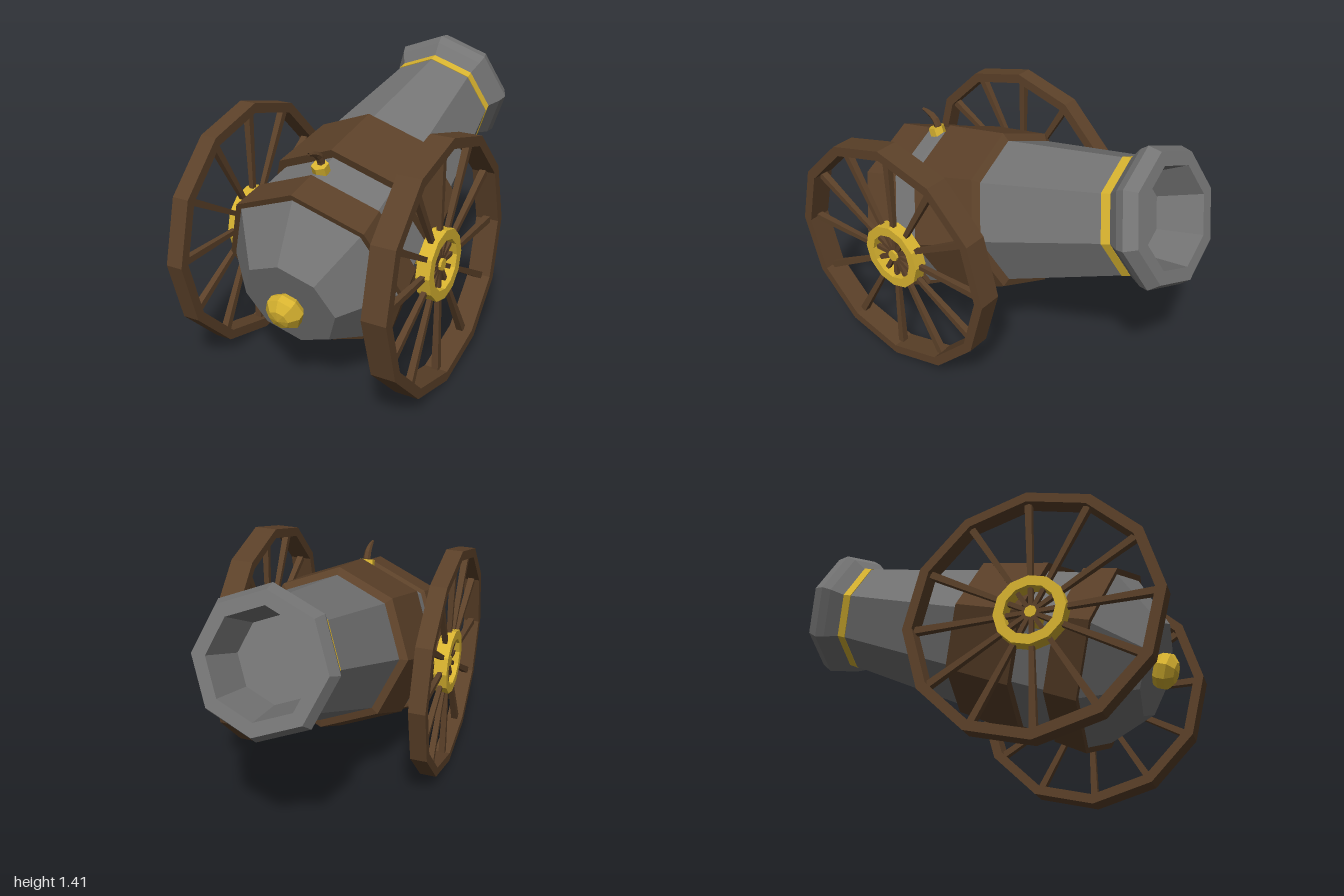
import * as THREE from 'three';

const paint = (color) => new THREE.MeshStandardMaterial({ color, flatShading: true });

export function createModel() {
  const iron = paint(0x757575), wood = paint(0x5c4129), gold = paint(0xd9b430);
  const model = new THREE.Group();

  const add = (parent, name, geometry, material) => {
    const mesh = new THREE.Mesh(geometry, material);
    mesh.name = name;
    parent.add(mesh);
    return mesh;
  };
  // profile: [radius, position along the axis] pairs
  const turned = (profile, sides) =>
    new THREE.LatheGeometry(profile.map(([r, s]) => new THREE.Vector2(r, s)), sides);
  // closed rectangular ring
  const ring = (inner, outer, half, sides) =>
    turned([[inner, -half], [outer, -half], [outer, half], [inner, half], [inner, -half]], sides);

  // Tilted gun: local y runs to the muzzle, local z points up
  const gun = new THREE.Group();
  gun.name = 'gun';
  gun.position.set(-0.012, 0.653, 0.38);
  gun.rotation.x = -(Math.PI / 2 - 0.34);
  model.add(gun);

  add(gun, 'barrel', turned([
    [0, -0.49], [0.243, -0.49], [0.452, -0.27], [0.427, 0], [0.372, 0.48], [0.285, 1.18],
    [0.331, 1.245], [0.346, 1.29], [0.317, 1.352], [0.25, 1.352], [0.205, 1.12], [0, 1.12],
  ], 8), iron);
  add(gun, 'rearSleeve', turned([
    [0.44, -0.272], [0.48, -0.272], [0.458, -0.1], [0.42, -0.085], [0.44, -0.272],
  ], 8), wood);
  add(gun, 'frontSleeve', turned([
    [0.41, 0.083], [0.462, 0.083], [0.414, 0.443], [0.368, 0.468], [0.41, 0.083],
  ], 8), wood);
  add(gun, 'muzzleBand', turned([
    [0.28, 1.137], [0.294, 1.137], [0.289, 1.184], [0.275, 1.184], [0.28, 1.137],
  ], 8), gold);
  add(gun, 'breechKnob', turned([
    [0, -0.597], [0.052, -0.587], [0.092, -0.552], [0.092, -0.515], [0.07, -0.48],
  ], 8), gold);

  // Fuse with its hexagonal socket on top of the breech
  const socket = add(gun, 'fuseSocket', new THREE.CylinderGeometry(0.042, 0.042, 0.045, 6), gold);
  socket.rotation.x = Math.PI / 2;
  socket.position.set(0, -0.025, 0.437);

  const path = new THREE.CatmullRomCurve3([
    new THREE.Vector3(-0.012, 1.06, 0.54), new THREE.Vector3(-0.012, 1.105, 0.55),
    new THREE.Vector3(-0.012, 1.137, 0.585), new THREE.Vector3(-0.012, 1.155, 0.645),
  ]);
  const steps = 5, sides = 6;
  const fuseGeometry = new THREE.TubeGeometry(path, steps, 0.021, sides);
  const pos = fuseGeometry.attributes.position, v = new THREE.Vector3();
  for (let i = 0; i < pos.count; i++) {
    const t = Math.floor(i / (sides + 1)) / steps;
    const c = path.getPointAt(t);
    v.fromBufferAttribute(pos, i).sub(c).multiplyScalar(1 - 0.65 * t * t).add(c);
    pos.setXYZ(i, v.x, v.y, v.z);
  }
  const fuse = add(model, 'fuse', fuseGeometry, wood.clone());
  fuse.material.side = THREE.DoubleSide;

  // Axle and wheels
  const axle = add(model, 'axle', new THREE.CylinderGeometry(0.03, 0.03, 1.09, 8), gold);
  axle.rotation.z = Math.PI / 2;
  axle.position.set(-0.005, 0.625, 0.38);

  const addWheel = (name, x, width) => {
    const wheel = new THREE.Group();
    wheel.name = name;
    wheel.position.set(x, 0.625, 0.38);
    wheel.rotation.z = Math.PI / 2;
    model.add(wheel);
    add(wheel, 'rim', ring(0.575, 0.625, width / 2, 12), wood);
    add(wheel, 'hubRing', ring(0.125, 0.175, 0.035, 12), gold);
    // spokes taper towards the hub
    const spoke = new THREE.CylinderGeometry(0.025, 0.014, 0.585, 4);
    spoke.rotateY(Math.PI / 4).translate(0, 0.2925, 0).rotateX(Math.PI / 2);
    for (let i = 0; i < 12; i++) {
      add(wheel, 'spoke', spoke, wood).rotation.y = (i * Math.PI) / 6;
    }
  };
  addWheel('leftWheel', 0.516, 0.12);
  addWheel('rightWheel', -0.534, 0.087);

  return model;
}
